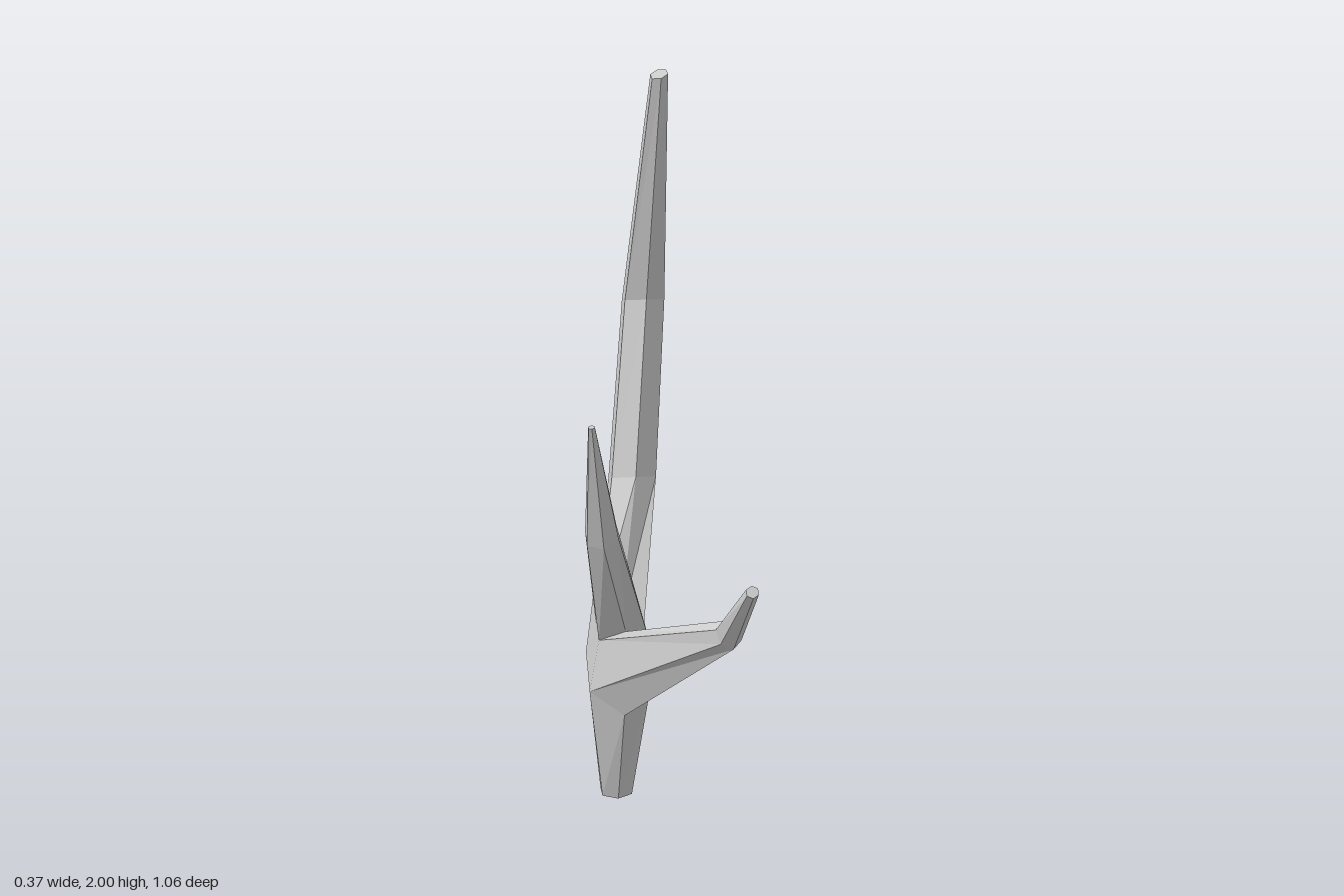
import * as THREE from 'three';

const V = (x, y, z) => new THREE.Vector3(x, y, z);

// Six-sided ring: "lead" points to the first corner, "side" spans half the flat width
function ring(center, lead, side) {
  return Array.from({ length: 6 }, (_, i) => {
    const a = (i * Math.PI) / 3;
    return center.clone()
      .addScaledVector(lead, Math.cos(a))
      .addScaledVector(side, Math.sin(a) / Math.sin(Math.PI / 3));
  });
}

const quad = (a, b, c, d) => [a, b, c, a, c, d];

// Joins successive rings with flat quads
function loft(rings) {
  const out = [];
  for (let r = 0; r < rings.length - 1; r++) {
    for (let i = 0; i < 6; i++) {
      const j = (i + 1) % 6;
      out.push(...quad(rings[r][i], rings[r][j], rings[r + 1][j], rings[r + 1][i]));
    }
  }
  return out;
}

function cap(points) {
  const out = [];
  for (let i = 1; i < points.length - 1; i++) out.push(points[0], points[i], points[i + 1]);
  return out;
}

export function createModel() {
  const group = new THREE.Group();
  const material = new THREE.MeshStandardMaterial({ color: 0xcccccc, flatShading: true });
  const add = (name, points) => {
    const geometry = new THREE.BufferGeometry().setFromPoints(points);
    geometry.computeVertexNormals();
    const mesh = new THREE.Mesh(geometry, material);
    mesh.name = name;
    group.add(mesh);
  };

  // Shared corners where the trunk opens into its three branches
  const front = V(-0.075, 0.3, 0.01), back = V(-0.065, 0.4, -0.24);
  const frontL = V(0.003, 0.35, -0.045), backL = V(0, 0.4, -0.2);
  const frontR = V(-0.163, 0.35, -0.05), backR = V(-0.157, 0.41, -0.2);
  // Saddle between brow and middle tines, then between middle tine and beam
  const s1 = V(-0.065, 0.525, -0.035), s1L = V(-0.003, 0.505, -0.045), s1R = V(-0.137, 0.5, -0.045);
  const s2 = V(-0.068, 0.52, -0.12), s2L = V(-0.003, 0.52, -0.118), s2R = V(-0.137, 0.52, -0.113);

  // Trunk with closed foot and the two side panels of the fork
  const foot = ring(V(-0.079, 0, -0.156), V(0, 0, 0.05), V(0.042, 0, 0));
  add('trunk', [
    ...loft([foot, [front, frontL, backL, back, backR, frontR]]),
    ...cap([...foot].reverse()),
    ...quad(frontL, backL, s2L, s1L),
    ...quad(backR, frontR, s1R, s2R),
  ]);

  const branch = (name, rings) => add(name, [...loft(rings), ...cap(rings.at(-1))]);

  // Main beam sweeps back, then forward to the tip
  branch('mainBeam', [
    [s2, s2L, backL, back, backR, s2R],
    ring(V(-0.004, 0.867, -0.364), V(0, 0.022, 0.083), V(0.063, 0, -0.002)),
    ring(V(0.041, 1.358, -0.46), V(0, 0.012, 0.071), V(0.056, 0, -0.002)),
    ring(V(0.058, 1.986, -0.265), V(0.002, -0.011, 0.021), V(0.021, 0.006, 0)),
  ]);

  // Middle tine rises forward
  branch('middleTine', [
    [s1, s1L, s2L, s2, s2R, s1R],
    ring(V(-0.138, 0.828, 0.054), V(0, -0.024, 0.049), V(0.041, 0.008, 0)),
    ring(V(-0.178, 1.153, 0.205), V(0, -0.003, 0.007), V(0.008, 0.001, 0)),
  ]);

  // Brow tine reaches forward and bends up
  branch('browTine', [
    [s1, s1R, frontR, front, frontL, s1L],
    ring(V(0.141, 0.652, 0.367), V(-0.01, 0.032, -0.016), V(-0.028, 0, 0.01)),
    ring(V(0.168, 0.815, 0.52), V(0, 0.012, -0.012), V(-0.015, 0, 0.003)),
  ]);

  return group;
}
